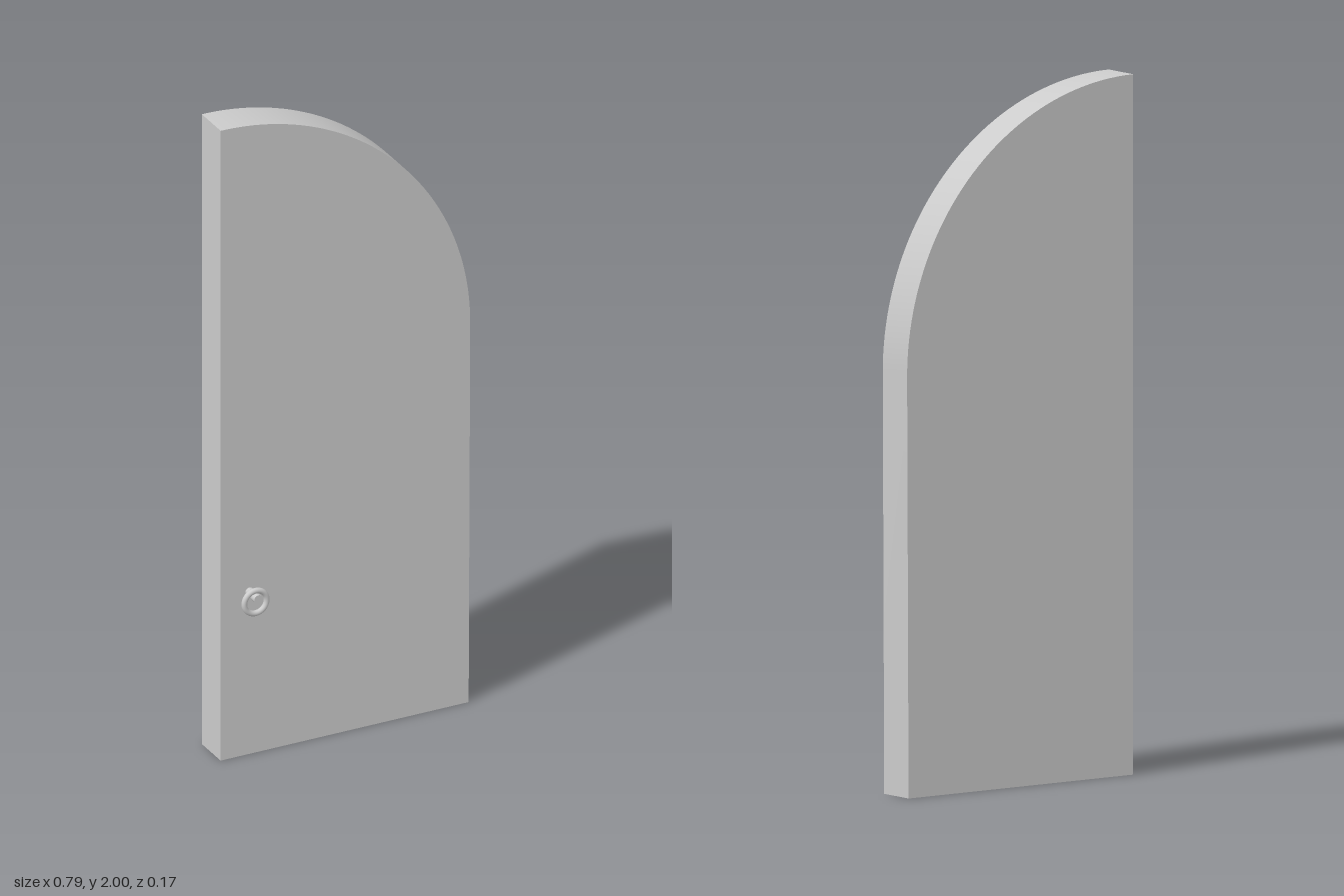
import * as THREE from 'three';
import { toCreasedNormals } from 'three/addons/utils/BufferGeometryUtils.js';

const W = 0.397;            // half width of the leaf
const BACK = -0.087, FRONT = 0.029;
const HANDLE_X = -0.305;

export function createModel() {
  const group = new THREE.Group();
  group.name = 'archedDoorLeaf';
  const material = new THREE.MeshStandardMaterial({ color: 0xcccccc });

  const add = (name, geometry, x, y, z) => {
    const mesh = new THREE.Mesh(geometry, material);
    mesh.name = name;
    mesh.position.set(x, y, z);
    group.add(mesh);
    return mesh;
  };

  // Door leaf: straight sides with a quarter-round top on one corner
  const radius = 2 * W;
  const outline = new THREE.Shape();
  outline.moveTo(-W, 0);
  outline.lineTo(W - 0.005, 0);
  outline.lineTo(W, 2 - radius);
  outline.absarc(-W, 2 - radius, radius, 0, Math.PI / 2, false);
  outline.closePath();
  const leaf = new THREE.ExtrudeGeometry(outline, {
    depth: FRONT - BACK, bevelEnabled: false, curveSegments: 24,
  });
  add('doorLeaf', toCreasedNormals(leaf, Math.PI / 6), 0, 0, BACK);

  // Pin standing out of the front face
  const pinLength = 0.084 - FRONT + 0.005;
  const pin = new THREE.CylinderGeometry(0.0135, 0.0135, pinLength, 24);
  pin.rotateX(Math.PI / 2);
  add('handlePin', pin, HANDLE_X, 0.515, 0.084 - pinLength / 2);

  // Pull ring hanging from the pin
  add('pullRing', new THREE.TorusGeometry(0.0355, 0.0085, 16, 48), HANDLE_X, 0.499, 0.0655);

  return group;
}
